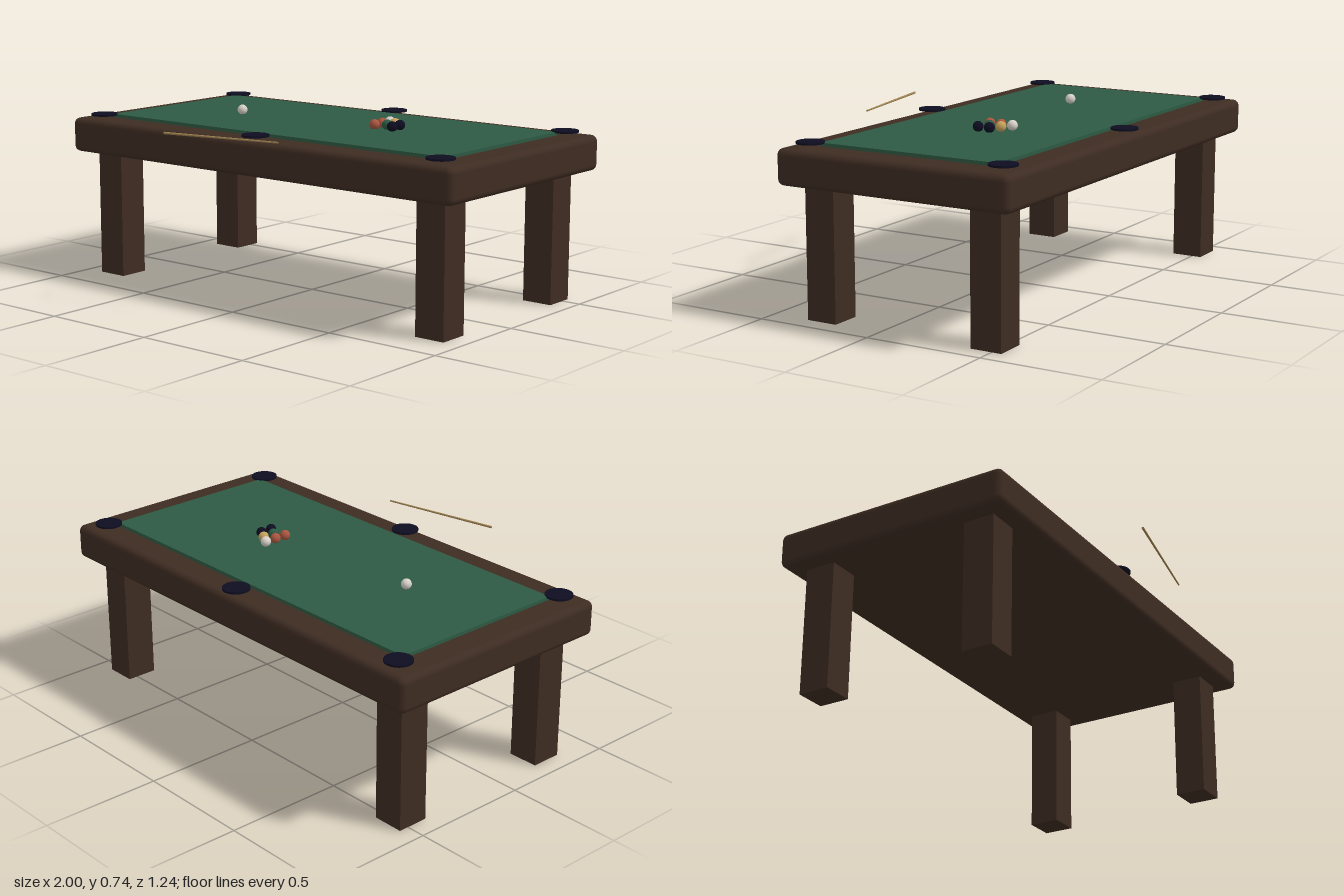
import * as THREE from 'three';
import { RoundedBoxGeometry } from 'three/addons/geometries/RoundedBoxGeometry.js';

const material = (name, color) => {
  const m = new THREE.MeshStandardMaterial({ color });
  m.name = name;
  return m;
};

export function createModel() {
  const model = new THREE.Group();
  model.name = 'poolTable';

  const wood = material('dark wood', 0x3e2c22);
  const felt = material('green felt', 0x2d5a43);
  const black = material('midnight black', 0x0d0d21);
  const white = material('ivory white', 0xd6d0c8);
  const red = material('brick red', 0xa8553e);
  const yellow = material('mustard yellow', 0xc4a05a);
  const maple = material('cue maple', 0xa08452);

  const add = (parent, name, geometry, mat, x, y, z) => {
    const mesh = new THREE.Mesh(geometry, mat);
    mesh.name = name;
    mesh.position.set(x, y, z);
    parent.add(mesh);
    return mesh;
  };

  // The table sits behind the centre to leave room for the cue in front
  const table = new THREE.Group();
  table.name = 'table';
  table.position.z = -0.103;
  model.add(table);

  // Rounded bed and raised felt
  add(table, 'bed', new RoundedBoxGeometry(2, 0.146, 1.035, 4, 0.027), wood, 0, 0.611, 0);
  add(table, 'feltSurface', new THREE.BoxGeometry(1.75, 0.02, 0.787), felt, 0, 0.688, 0);

  // Four square legs
  const legGeometry = new THREE.BoxGeometry(0.132, 0.56, 0.132);
  for (const sx of [-1, 1]) {
    for (const sz of [-1, 1]) add(table, 'leg', legGeometry, wood, sx * 0.853, 0.28, sz * 0.372);
  }

  // Six pocket discs, the middle pair set further out
  const pocketGeometry = new THREE.CylinderGeometry(0.056, 0.056, 0.008, 32);
  for (const sx of [-1, 0, 1]) {
    for (const sz of [-1, 1]) {
      add(table, 'pocket', pocketGeometry, black, sx * 0.89, 0.699, sz * (sx ? 0.43 : 0.458));
    }
  }

  // Cue ball and racked balls: x, z, colour
  const balls = new THREE.Group();
  balls.name = 'balls';
  model.add(balls);
  const ballGeometry = new THREE.SphereGeometry(0.0215, 24, 16);
  const layout = [
    [-0.446, -0.067, white],
    [0.257, -0.194, white], [0.257, -0.142, red], [0.257, -0.09, red],
    [0.302, -0.168, yellow], [0.302, -0.116, felt],
    [0.347, -0.142, black], [0.347, -0.09, black],
  ];
  layout.forEach(([x, z, mat], i) => {
    add(balls, i ? 'rackedBall' : 'cueBall', ballGeometry, mat, x, 0.716, z);
  });

  // Slender tapered cue stick hovering level beside the table
  const from = new THREE.Vector3(-0.255, 0.714, 0.614);
  const to = new THREE.Vector3(0.255, 0.714, 0.511);
  const cue = add(model, 'cueStick',
    new THREE.CylinderGeometry(0.0035, 0.005, from.distanceTo(to), 12), maple, 0, 0.714, 0.5625);
  cue.quaternion.setFromUnitVectors(new THREE.Vector3(0, 1, 0), to.sub(from).normalize());

  return model;
}
